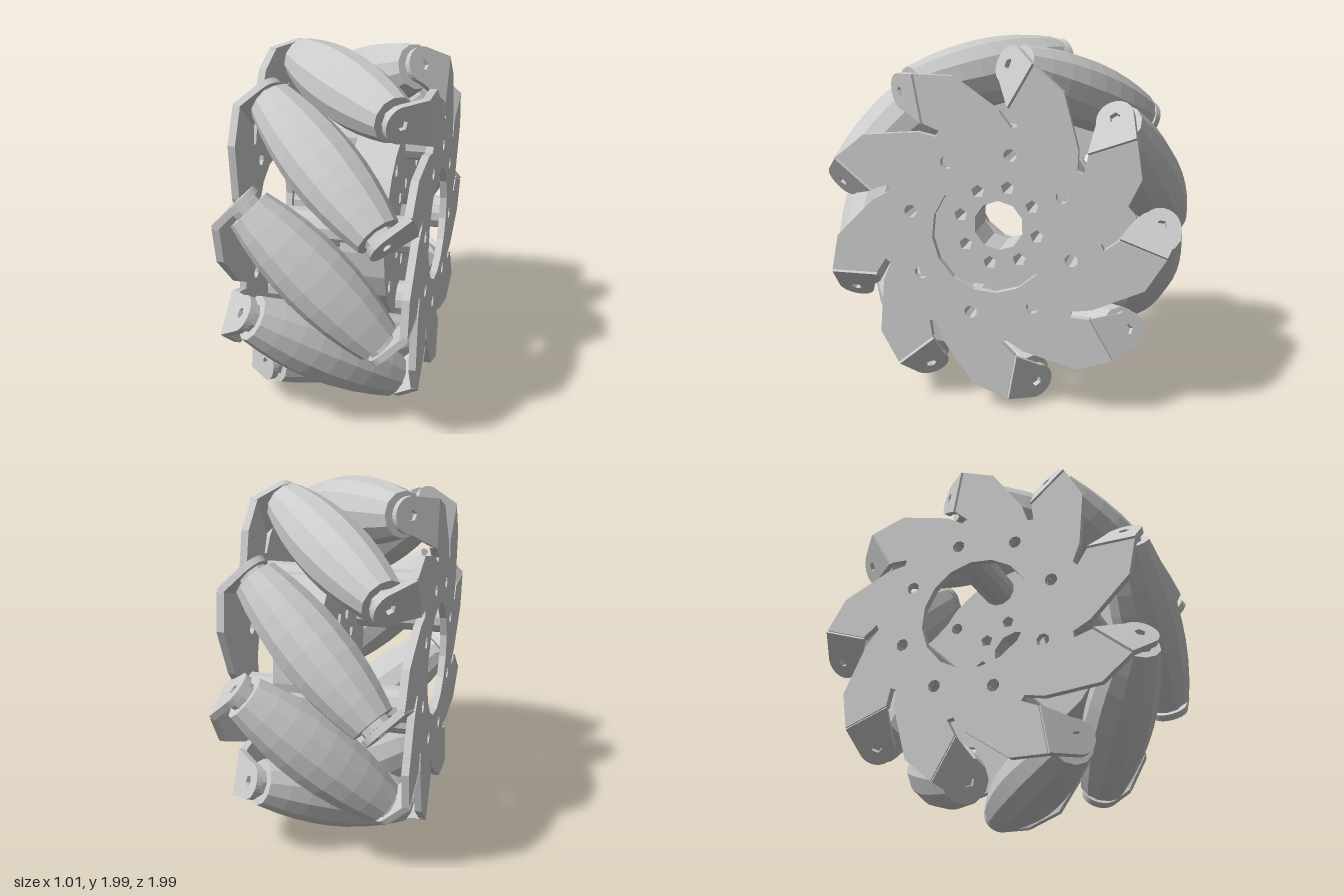
import * as THREE from 'three';

const N = 9;               // rollers and plate teeth
const STEP = (2 * Math.PI) / N;
const AXIS_R = 0.81;       // distance of roller axes from the wheel axis
const HOLE_ANGLE = 0.245;  // first mounting hole
const mat = new THREE.MeshStandardMaterial({ color: 0xcccccc, flatShading: true });

function mesh(geometry, name) {
  const m = new THREE.Mesh(geometry, mat);
  m.name = name;
  return m;
}

// regular polygon path
function ngon(cx, cy, r, n, Type = THREE.Path) {
  const pts = [];
  for (let i = 0; i < n; i++) {
    const a = (i / n) * 2 * Math.PI + 0.3;
    pts.push(new THREE.Vector2(cx + r * Math.cos(a), cy + r * Math.sin(a)));
  }
  return new Type(pts);
}

// ring of small holes around the wheel axis
function holeRing(shape, count, radius, size, sides, start, dir = 1) {
  for (let i = 0; i < count; i++) {
    const a = dir * (start + (i / count) * 2 * Math.PI);
    shape.holes.push(ngon(radius * Math.cos(a), radius * Math.sin(a), size, sides));
  }
}

// extrude a (z, y) outline along the wheel axis between two x positions
function slab(shape, x0, x1) {
  const g = new THREE.ExtrudeGeometry(shape, { depth: x1 - x0, bevelEnabled: false, curveSegments: 8 });
  g.applyMatrix4(new THREE.Matrix4().makeBasis(
    new THREE.Vector3(0, 0, 1), new THREE.Vector3(0, 1, 0), new THREE.Vector3(-1, 0, 0)));
  g.translate(x1, 0, 0);
  return g;
}

// toothed side plate with relief slots at the tab folds
function sidePlate(dir) {
  const tooth = [[0.6, -0.29], [0.56, -0.19], [0.585, -0.165], [0.64, -0.25], [0.9, -0.25], [0.86, -0.05]];
  const pts = [];
  for (let i = 0; i < N; i++) {
    for (const [z, y] of tooth) {
      pts.push(new THREE.Vector2(z, y).rotateAround(new THREE.Vector2(), i * STEP));
    }
  }
  const shape = new THREE.Shape(pts);
  shape.holes.push(ngon(0, 0, 0.32, 16));
  holeRing(shape, 8, 0.45, 0.036, 8, HOLE_ANGLE, dir);
  return mesh(slab(shape, 0.46, 0.5), 'sidePlate');
}

// bent tab that carries one roller end
function tabGeometry() {
  const shape = new THREE.Shape();
  shape.moveTo(0.17, 0.9);
  shape.lineTo(0, AXIS_R + 0.1);
  shape.absarc(0, AXIS_R, 0.1, Math.PI / 2, Math.PI * 1.5, false);
  shape.lineTo(0.17, 0.64);
  shape.closePath();
  shape.holes.push(ngon(0, AXIS_R, 0.03, 5));
  const g = new THREE.ExtrudeGeometry(shape, { depth: 0.036, bevelEnabled: false, curveSegments: 8 });
  const k = Math.SQRT1_2;
  const axis = new THREE.Vector3(k, -k, 0);
  g.applyMatrix4(new THREE.Matrix4().makeBasis(
    new THREE.Vector3(k, k, 0), new THREE.Vector3(0, 0, 1), axis));
  g.translate(axis.x * 0.505, axis.y * 0.505, 0);
  return g;
}

// barrel whose outside follows the wheel's rim
function rollerGeometry() {
  const half = 0.47;
  const pts = [new THREE.Vector2(0, -half)];
  for (let i = 0; i <= 8; i++) {
    const s = -half + (i / 8) * 2 * half;
    pts.push(new THREE.Vector2(1 - Math.sqrt(AXIS_R ** 2 + s * s / 2), s));
  }
  pts.push(new THREE.Vector2(0, half));
  return new THREE.LatheGeometry(pts, 12);
}

export function createModel() {
  const model = new THREE.Group();
  model.name = 'omnidirectionalWheel';
  const wheel = new THREE.Group();
  wheel.name = 'wheel';
  wheel.position.y = 1;
  model.add(wheel);

  // side plates: the second is the first turned half a turn
  const leftPlate = sidePlate(1);
  leftPlate.name = 'leftSidePlate';
  const rightPlate = sidePlate(-1);
  rightPlate.name = 'rightSidePlate';
  rightPlate.rotation.z = Math.PI;
  wheel.add(leftPlate, rightPlate);

  // recessed hub with bore and bolt holes
  const hub = ngon(0, 0, 0.53, 24, THREE.Shape);
  hub.holes.push(ngon(0, 0, 0.14, 10));
  holeRing(hub, 8, 0.22, 0.038, 5, 0.23);
  holeRing(hub, 8, 0.45, 0.036, 8, HOLE_ANGLE);
  wheel.add(mesh(slab(hub, 0.06, 0.3), 'hub'));

  // four spacer tubes between the plates
  for (let i = 0; i < 4; i++) {
    const a = HOLE_ANGLE + i * Math.PI / 2;
    const z = 0.45 * Math.cos(a), y = 0.45 * Math.sin(a);
    const tube = ngon(z, y, 0.098, 12, THREE.Shape);
    tube.holes.push(ngon(z, y, 0.036, 8));
    wheel.add(mesh(slab(tube, -0.46, 0.46), 'spacerTube'));
  }

  // slanted rollers with their tabs and nuts
  const rollerGeo = rollerGeometry();
  const tabGeo = tabGeometry();
  const nutGeo = new THREE.CylinderGeometry(0.08, 0.08, 0.04, 8);
  const boltGeo = new THREE.CylinderGeometry(0.055, 0.055, 0.03, 6);
  for (let i = 0; i < N; i++) {
    const unit = new THREE.Group();
    unit.name = 'rollerUnit';
    unit.rotation.x = -i * STEP;

    const roller = mesh(rollerGeo, 'roller');
    roller.position.z = AXIS_R;
    roller.rotation.z = -Math.PI * 0.75;
    unit.add(roller);

    for (const turn of [0, Math.PI]) {
      const end = new THREE.Group();
      end.name = 'rollerMount';
      end.rotation.z = turn;
      end.add(mesh(tabGeo, 'tab'));
      for (const [geo, s, name] of [[nutGeo, 0.482, 'washer'], [boltGeo, 0.497, 'nut']]) {
        const part = mesh(geo, name);
        part.position.set(s * Math.SQRT1_2, -s * Math.SQRT1_2, AXIS_R);
        part.rotation.z = -Math.PI * 0.75;
        end.add(part);
      }
      unit.add(end);
    }
    wheel.add(unit);
  }
  return model;
}
